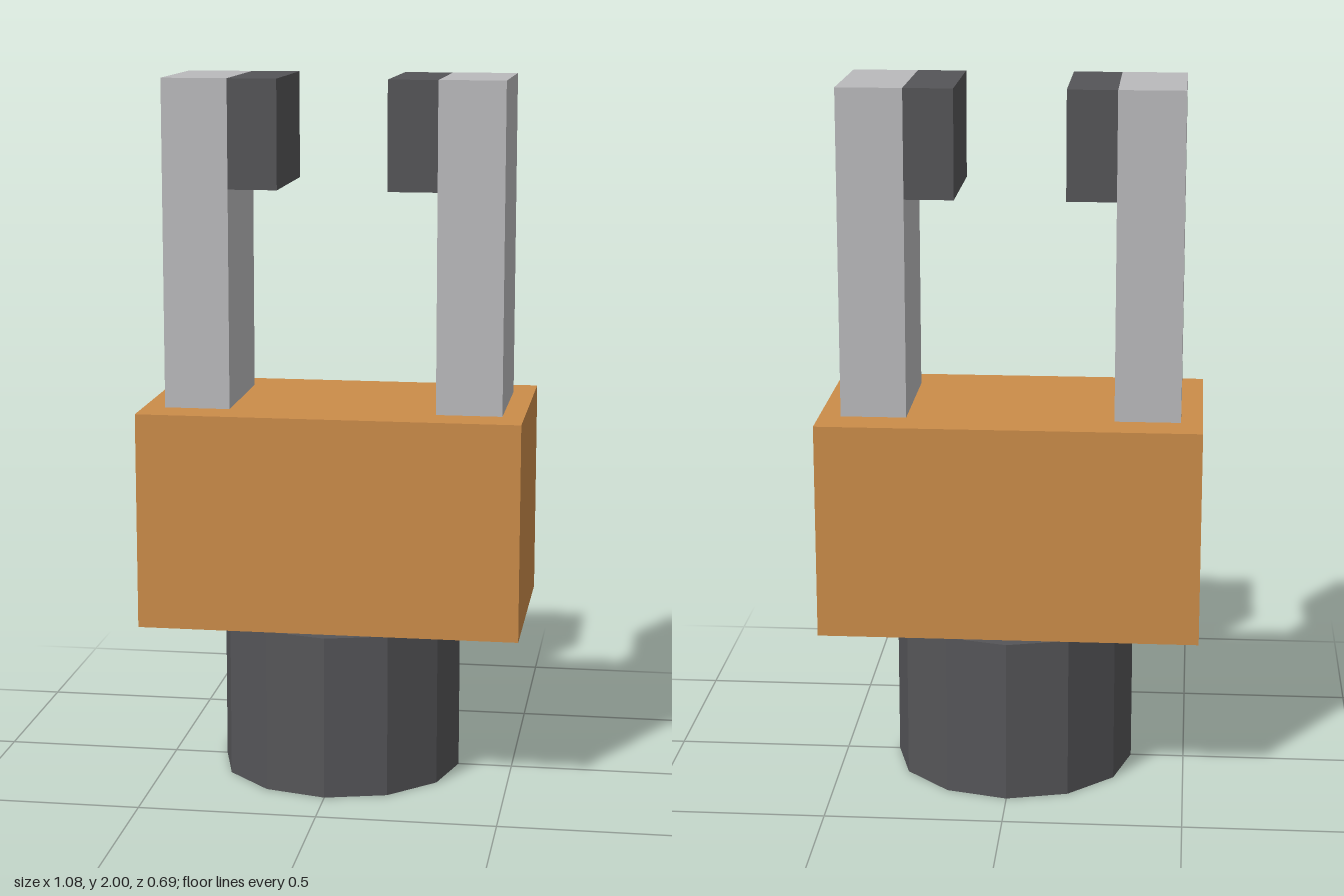
import * as THREE from 'three';

export function createModel() {
  const model = new THREE.Group();
  model.name = 'gripper';

  const material = (name, color) => {
    const m = new THREE.MeshStandardMaterial({ color, flatShading: true });
    m.name = name;
    return m;
  };
  const orange = material('orange', 0xcb8c49);
  const lightGrey = material('lightGrey', 0xbababc);
  const darkGrey = material('darkGrey', 0x555558);

  const add = (name, geometry, mat, x, y) => {
    const mesh = new THREE.Mesh(geometry, mat);
    mesh.name = name;
    mesh.position.set(x, y, 0);
    model.add(mesh);
  };

  // Twelve-sided mounting base
  const baseHeight = 0.465;
  add('mountingBase', new THREE.CylinderGeometry(0.345, 0.345, baseHeight, 12), darkGrey, 0, baseHeight / 2);

  // Wide body block
  const bodyHeight = 0.613;
  add('body', new THREE.BoxGeometry(1.075, bodyHeight, 0.613), orange, 0, baseHeight + bodyHeight / 2);

  // Mirrored fingers with grip pads on their inner faces
  const fingerBottom = baseHeight + bodyHeight;
  const fingerHeight = 2 - fingerBottom;
  const depth = 0.386;
  for (const [side, s] of [['left', 1], ['right', -1]]) {
    add(side + 'Finger', new THREE.BoxGeometry(0.185, fingerHeight, depth), lightGrey, s * 0.384, fingerBottom + fingerHeight / 2);
    add(side + 'GripPad', new THREE.BoxGeometry(0.138, 0.305, depth), darkGrey, s * 0.2225, 2 - 0.305 / 2);
  }

  return model;
}
